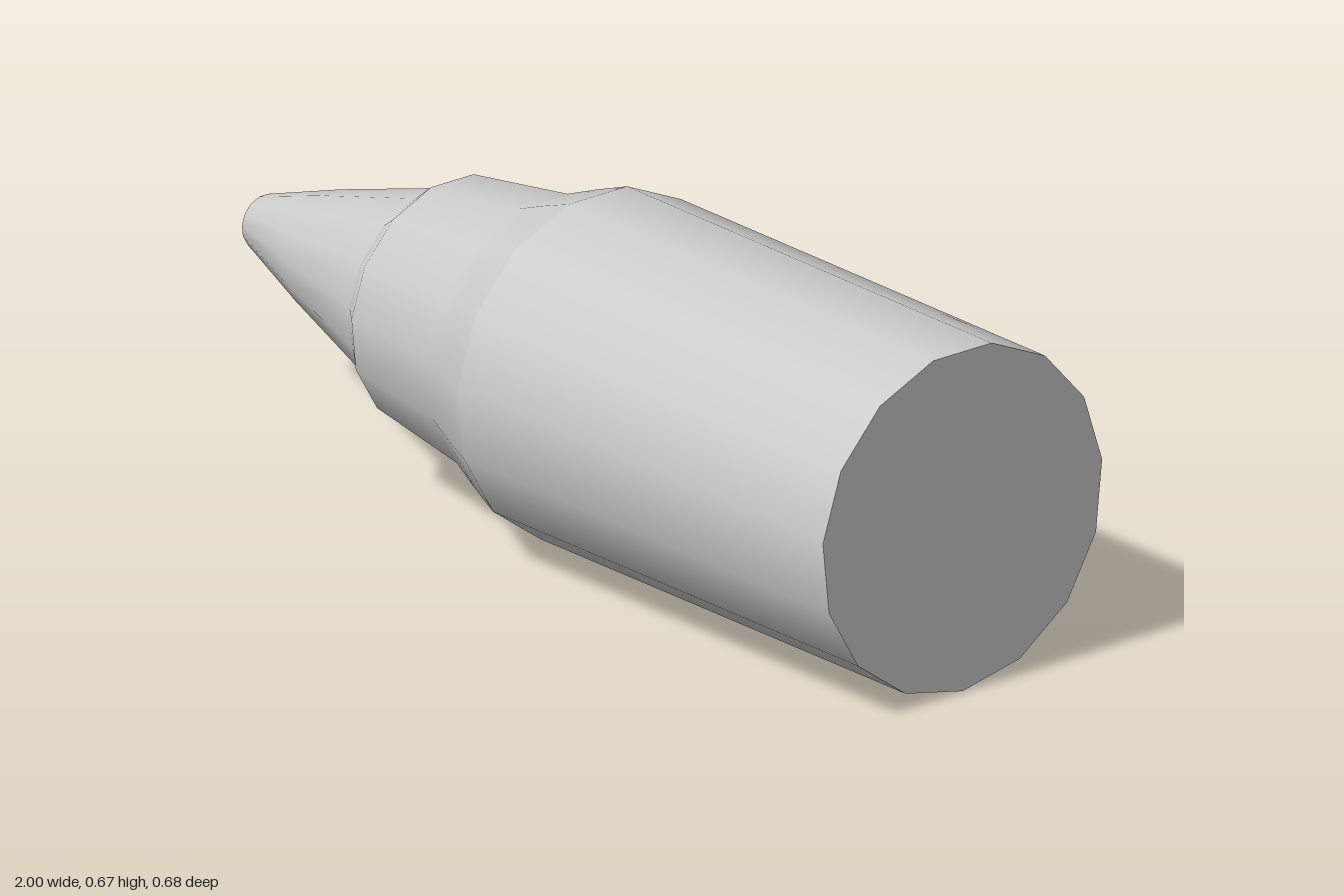
import * as THREE from 'three';

const SIDES = 15;
const AXIS_HEIGHT = 0.341;

// Turns a list of [x, radius] stations into a surface around the x axis,
// with one corner of the polygon pointing straight down.
function turned(name, stations, material) {
  const points = stations.map(([x, r]) => new THREE.Vector2(r, x));
  const geometry = new THREE.LatheGeometry(points, SIDES, Math.PI / 2);
  geometry.rotateZ(-Math.PI / 2);
  const mesh = new THREE.Mesh(geometry, material);
  mesh.name = name;
  return mesh;
}

export function createModel() {
  const material = new THREE.MeshStandardMaterial({ color: 0xcccccc });
  const group = new THREE.Group();
  group.name = 'pointedCylinder';

  group.add(
    // Blunt end of the nose, very slightly domed
    turned('noseTip', [[-1, 0], [-1, 0.044], [-0.993, 0.053]], material),
    // Long, slightly bowed cone
    turned('nose', [[-0.993, 0.053], [-0.8, 0.117], [-0.51, 0.203]], material),
    // Stepped collar flaring out to the body
    turned('collar', [[-0.51, 0.203], [-0.455, 0.245], [-0.195, 0.282], [-0.12, 0.312], [-0.04, 0.341]], material),
    // Straight body and its flat rear end
    turned('body', [[-0.04, 0.341], [1, 0.339]], material),
    turned('rearCap', [[1, 0.339], [1, 0]], material),
  );
  group.position.y = AXIS_HEIGHT;

  const model = new THREE.Group();
  model.add(group);
  return model;
}
